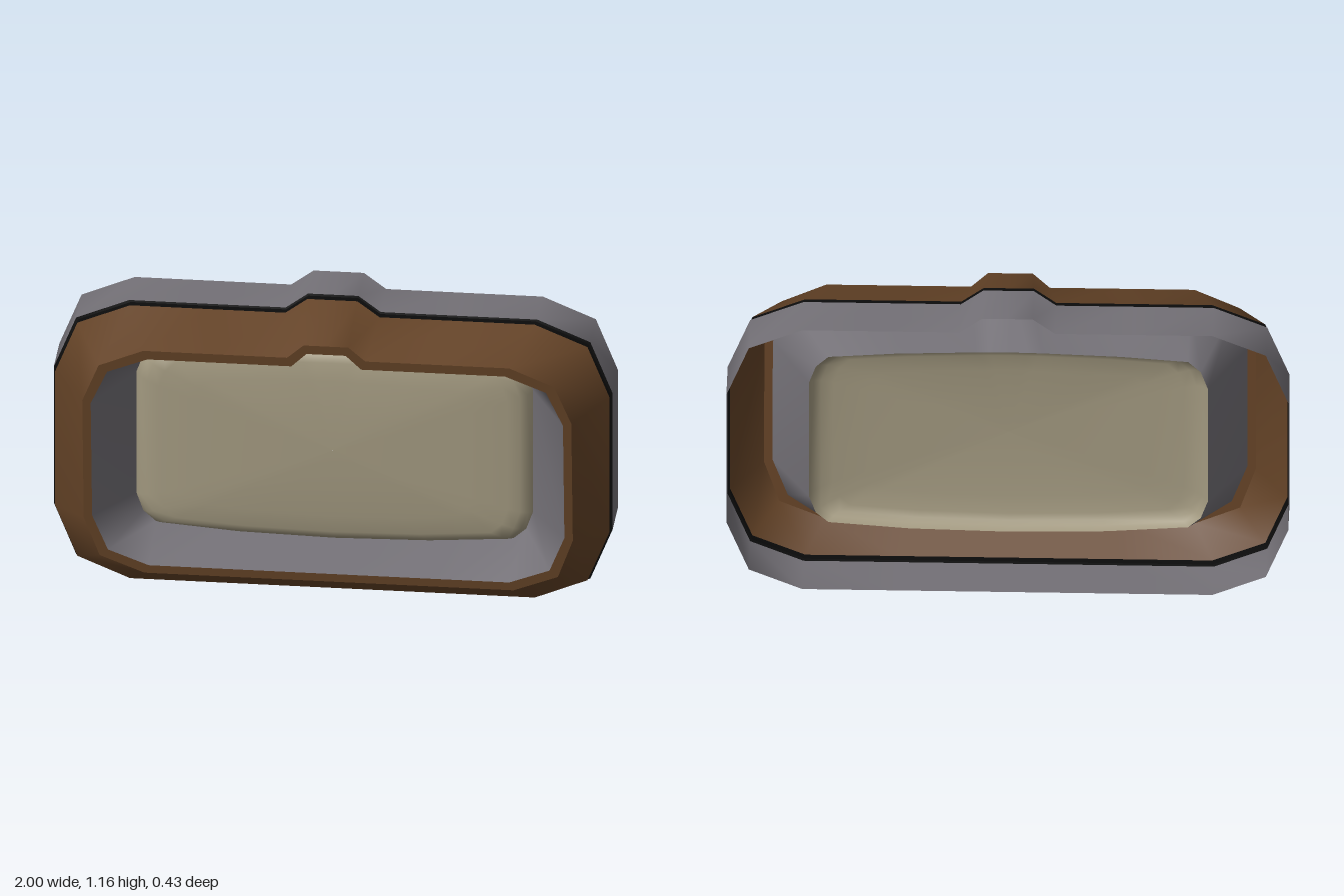
import * as THREE from 'three';

const mat = (name, color) => {
  const m = new THREE.MeshStandardMaterial({ color, side: THREE.DoubleSide });
  m.name = name;
  return m;
};

// Right half of an outline, bottom centre to top centre, mirrored to a full loop
function loop(half, z) {
  const zAt = typeof z === 'function' ? z : () => z;
  const left = half.slice(1, -1).reverse().map(([x, y]) => [-x, y]);
  return [...half, ...left].map(([x, y]) => [x, y, zAt(y)]);
}

// Scale a half outline about the middle of the model
const CY = 0.55;
const scaled = (half, sx, sy = sx, cy = CY) => half.map(([x, y]) => [x * sx, cy + (y - cy) * sy]);

// Smooth skin across successive loops
function skin(name, material, loops) {
  const n = loops[0].length;
  const index = [];
  for (let r = 0; r < loops.length - 1; r++) {
    for (let i = 0; i < n; i++) {
      const j = (i + 1) % n;
      const a = r * n + i, b = r * n + j, c = a + n, d = b + n;
      index.push(a, b, d, a, d, c);
    }
  }
  const g = new THREE.BufferGeometry();
  g.setAttribute('position', new THREE.Float32BufferAttribute(loops.flat(2), 3));
  g.setIndex(index);
  g.computeVertexNormals();
  const mesh = new THREE.Mesh(g, material);
  mesh.name = name;
  return mesh;
}

export function createModel() {
  const grey = mat('grey plastic', 0x737076);
  const black = mat('black seam', 0x0b0b0b);
  const brown = mat('brown casing', 0x634226);
  const beige = mat('beige glass', 0xa1987f);

  const outer = [[0, 0], [0.4, 0], [0.73, 0], [0.92, 0.08], [1, 0.28], [1, 0.82], [0.92, 1.02],
    [0.73, 1.1], [0.45, 1.1], [0.17, 1.1], [0.09, 1.16], [0, 1.16]];
  const rimOuter = [[0, 0.09], [0.38, 0.09], [0.66, 0.09], [0.82, 0.155], [0.875, 0.31], [0.875, 0.8], [0.815, 0.95],
    [0.655, 1.02], [0.4, 1.02], [0.14, 1.02], [0.08, 1.075], [0, 1.075]];
  const rimInner = [[0, 0.122], [0.37, 0.122], [0.645, 0.122], [0.79, 0.18], [0.845, 0.32], [0.845, 0.79], [0.785, 0.925],
    [0.64, 0.985], [0.4, 0.985], [0.125, 0.985], [0.07, 1.04], [0, 1.04]];
  const glass = [[0, 0.17], [0.35, 0.178], [0.64, 0.2], [0.685, 0.24], [0.71, 0.31], [0.71, 0.79], [0.685, 0.86],
    [0.64, 0.902], [0.4, 0.92], [0.12, 0.93], [0.07, 0.931], [0, 0.932]];
  const seam = scaled(outer, 0.992, 0.987, 0.58);
  const slope = (y) => 0.115 + (y - 0.09) * 0.102; // front face leans forward at the top

  const group = new THREE.Group();
  group.name = 'screenHousing';

  // Open-backed rear shell
  group.add(skin('rearShell', grey, [loop(outer, -0.212), loop(outer, -0.028)]));

  // Dark seam between shell and casing
  group.add(skin('seamLedge', black, [loop(outer, -0.028), loop(seam, -0.026)]));
  group.add(skin('seamBand', black, [loop(seam, -0.026), loop(seam, 0)]));

  // Tapered front casing and its flat rim
  group.add(skin('frontCasing', brown, [loop(seam, 0), loop(rimOuter, slope)]));
  group.add(skin('frontRim', brown, [loop(rimOuter, slope), loop(rimInner, slope)]));

  // Funnel leading back to the glass
  group.add(skin('screenRecess', grey, [loop(rimInner, slope), loop(glass, -0.08)]));

  // Bulging glass
  const rings = [[1, -0.08], [0.975, -0.055], [0.94, -0.04], [0.88, -0.03], [0.7, -0.02], [0.35, -0.012], [0.001, -0.01]];
  group.add(skin('screenGlass', beige, rings.map(([s, z]) => loop(scaled(glass, s), z))));

  return group;
}
